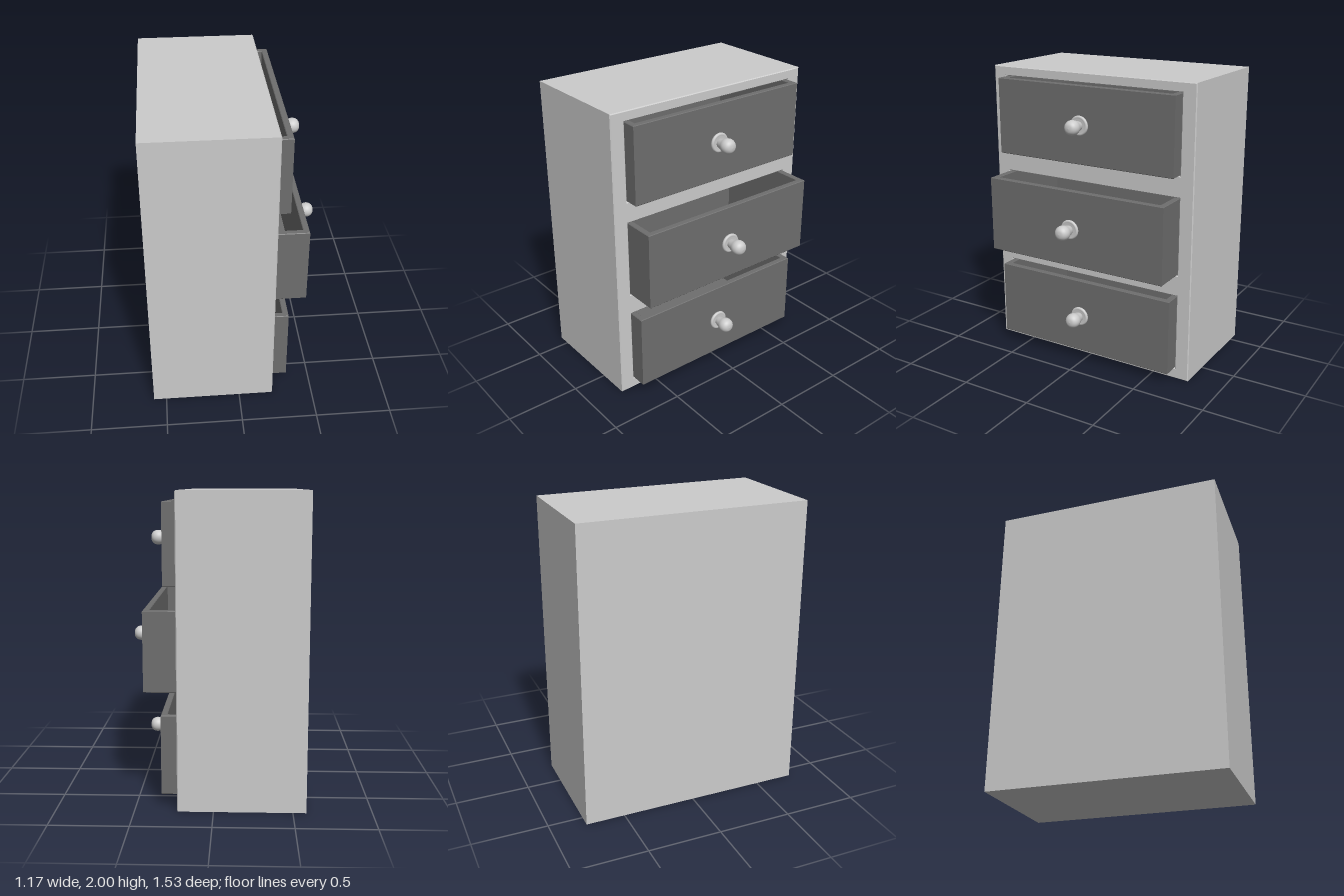
import * as THREE from 'three';

const paleGrey = new THREE.MeshStandardMaterial({ color: 0xcccccc });
const darkGrey = new THREE.MeshStandardMaterial({ color: 0x6e6e6e });

const FACE = 0.23, BACK = -0.585, HEIGHT = 2, WIDTH = 1.53;
const DRAWER_W = 1.33, DRAWER_D = 0.78, WALL = 0.04, KNOB_Z = 0.015;

// bottom, top and front position of each drawer, with its knob height
const drawers = [
  { name: 'bottomDrawer', y0: 0.075, y1: 0.597, front: 0.337, knobY: 0.34 },
  { name: 'middleDrawer', y0: 0.745, y1: 1.265, front: 0.445, knobY: 1.005 },
  { name: 'topDrawer', y0: 1.413, y1: 1.932, front: 0.318, knobY: 1.675 },
];

function addMesh(parent, name, geometry, material, x = 0, y = 0, z = 0) {
  const mesh = new THREE.Mesh(geometry, material);
  mesh.name = name;
  mesh.position.set(x, y, z);
  parent.add(mesh);
  return mesh;
}

function trace(path, x0, y0, x1, y1) {
  path.moveTo(x0, y0);
  path.lineTo(x1, y0);
  path.lineTo(x1, y1);
  path.lineTo(x0, y1);
  path.closePath();
  return path;
}

// Extrusion of exact total depth with a fine chamfer that stays inside the outline
function chamferedExtrude(shape, depth, b) {
  const geometry = new THREE.ExtrudeGeometry(shape, {
    depth: depth - 2 * b, bevelEnabled: true, bevelSize: b,
    bevelThickness: b, bevelOffset: -b, bevelSegments: 1,
  });
  return geometry.translate(0, 0, b);
}

// Carcass with one opening per drawer, closed by a back panel
function makeCabinet() {
  const cabinet = new THREE.Group();
  cabinet.name = 'cabinet';
  const outline = trace(new THREE.Shape(), -WIDTH / 2, 0, WIDTH / 2, HEIGHT);
  const half = DRAWER_W / 2 + 0.002;
  for (const d of drawers) {
    outline.holes.push(trace(new THREE.Path(), -half, d.y0 - 0.002, half, d.y1 + 0.002));
  }
  const start = BACK + 0.035;
  const body = chamferedExtrude(outline, FACE - start, 0.006).rotateY(Math.PI / 2);
  addMesh(cabinet, 'carcass', body, paleGrey, start);
  const panel = new THREE.BoxGeometry(0.045, HEIGHT, WIDTH);
  addMesh(cabinet, 'backPanel', panel, paleGrey, BACK + 0.0225, HEIGHT / 2);
  return cabinet;
}

// Turned knob: rounded rosette, narrow neck and swelling head
function makeKnob() {
  const knob = new THREE.Group();
  knob.name = 'knob';
  const toPoints = (list) => list.map(([r, y]) => new THREE.Vector2(r, y));
  const rosette = toPoints([
    [0.062, 0], [0.065, 0.005], [0.066, 0.01], [0.064, 0.016], [0.059, 0.02],
    [0.052, 0.02], [0.046, 0.018], [0, 0.018],
  ]);
  const head = new THREE.SplineCurve(toPoints([
    [0.03, 0.016], [0.034, 0.03], [0.041, 0.055], [0.049, 0.078],
    [0.05, 0.098], [0.043, 0.118], [0.026, 0.133], [0, 0.138],
  ])).getPoints(28);
  head[head.length - 1].x = 0;
  addMesh(knob, 'knobRosette', new THREE.LatheGeometry(rosette, 40), paleGrey);
  addMesh(knob, 'knobHead', new THREE.LatheGeometry(head, 32), paleGrey);
  knob.rotation.z = -Math.PI / 2;
  return knob;
}

// Open-topped drawer: a chamfered rim of four walls, a floor and a knob
function makeDrawer({ name, y0, y1, front, knobY }) {
  const drawer = new THREE.Group();
  drawer.name = name;
  const w = DRAWER_W / 2;
  const outline = trace(new THREE.Shape(), -DRAWER_D, -w, 0, w);
  outline.holes.push(trace(new THREE.Path(), WALL - DRAWER_D, WALL - w, -WALL, w - WALL));
  const walls = chamferedExtrude(outline, y1 - y0, 0.004).rotateX(-Math.PI / 2);
  addMesh(drawer, 'drawerWalls', walls, darkGrey, 0, y0);
  const floor = new THREE.BoxGeometry(DRAWER_D - 0.02, WALL, DRAWER_W - 0.02);
  addMesh(drawer, 'drawerFloor', floor, darkGrey, -DRAWER_D / 2, y0 + WALL / 2 + 0.001);
  const knob = makeKnob();
  knob.position.set(0, knobY, KNOB_Z);
  drawer.add(knob);
  drawer.position.x = front;
  return drawer;
}

export function createModel() {
  const model = new THREE.Group();
  model.name = 'chestOfDrawers';
  model.add(makeCabinet());
  for (const d of drawers) model.add(makeDrawer(d));
  return model;
}
